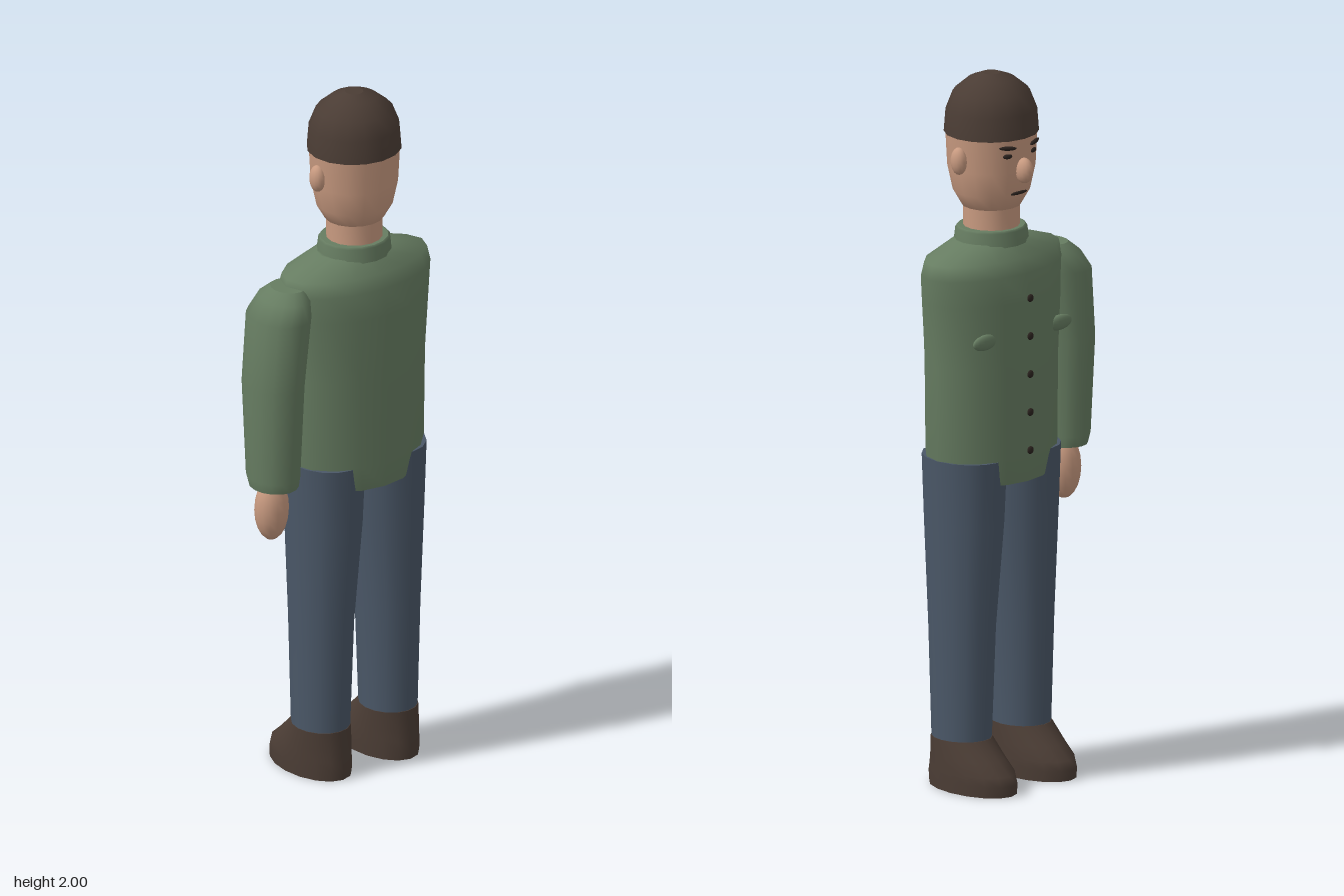
import * as THREE from 'three';

const CX = 0.057, CZ = 0.02; // body axis

const mat = (name, color) => {
  const m = new THREE.MeshStandardMaterial({ color });
  m.name = name;
  return m;
};

// Smooth tube through elliptical rings [y, x, z, rx, rz], closed by flat caps
function loft(rings, n = 16) {
  const pos = [], idx = [];
  const ring = ([y, x, z, rx, rz]) => {
    const start = pos.length / 3;
    for (let i = 0; i < n; i++) {
      const a = (i / n) * Math.PI * 2;
      pos.push(x + Math.cos(a) * rx, y, z + Math.sin(a) * rz);
    }
    return start;
  };
  const starts = rings.map(ring);
  for (let k = 0; k + 1 < rings.length; k++) {
    for (let i = 0; i < n; i++) {
      const j = (i + 1) % n, a = starts[k], b = starts[k + 1];
      idx.push(a + i, b + i, b + j, a + i, b + j, a + j);
    }
  }
  const bottom = ring(rings[0]), top = ring(rings[rings.length - 1]);
  for (let i = 1; i + 1 < n; i++) {
    idx.push(bottom, bottom + i, bottom + i + 1);
    idx.push(top, top + i + 1, top + i);
  }
  const g = new THREE.BufferGeometry();
  g.setAttribute('position', new THREE.Float32BufferAttribute(pos, 3));
  g.setIndex(idx);
  g.computeVertexNormals();
  return g;
}

// Rings centred on the body axis, given as [y, rx, rz]
const axial = (rows) => loft(rows.map(([y, rx, rz]) => [y, CX, CZ, rx, rz]));

export function createModel() {
  const group = new THREE.Group();
  const skin = mat('skin', 0xc89a80);
  const green = mat('jacketGreen', 0x667c61);
  const denim = mat('trouserBlue', 0x4a5767);
  const brown = mat('darkBrown', 0x4a3c34);
  const dark = mat('featureDark', 0x2a221e);

  const add = (name, geometry, material) => {
    const m = new THREE.Mesh(geometry, material);
    m.name = name;
    group.add(m);
    return m;
  };
  const ellipsoid = (name, material, [x, y, z], [rx, ry, rz]) => {
    const m = add(name, new THREE.SphereGeometry(1, 14, 10), material);
    m.position.set(x, y, z);
    m.scale.set(rx, ry, rz);
    return m;
  };

  // Jacket body, collar and neck
  add('jacket', axial([
    [0.865, 0.18, 0.14], [0.94, 0.212, 0.149], [1.2, 0.216, 0.15], [1.38, 0.23, 0.15],
    [1.455, 0.24, 0.138], [1.495, 0.232, 0.123], [1.535, 0.11, 0.09],
  ]), green);
  add('collar', axial([[1.525, 0.107, 0.1], [1.565, 0.102, 0.095], [1.57, 0.096, 0.09]]), green);
  add('neck', axial([[1.54, 0.078, 0.078], [1.65, 0.078, 0.078]]), skin);

  // Head and cap
  add('head', axial([
    [1.613, 0.045, 0.045], [1.628, 0.083, 0.081], [1.67, 0.107, 0.105],
    [1.74, 0.122, 0.12], [1.845, 0.128, 0.125],
  ]), skin);
  add('cap', axial([
    [1.835, 0.133, 0.128], [1.9, 0.128, 0.123], [1.95, 0.108, 0.104],
    [1.985, 0.065, 0.063], [2.0, 0.025, 0.025],
  ]), brown);

  // Face, looking along -z
  ellipsoid('nose', skin, [CX, 1.745, -0.106], [0.023, 0.036, 0.028]);
  ellipsoid('mouth', dark, [CX, 1.678, -0.086], [0.032, 0.005, 0.005]);
  for (const s of [-1, 1]) {
    ellipsoid('ear', skin, [CX + s * 0.126, 1.772, CZ], [0.022, 0.039, 0.025]);
    const brow = ellipsoid('eyebrow', dark, [CX + s * 0.052, 1.815, -0.095], [0.027, 0.006, 0.006]);
    brow.rotation.set(0, -s * 0.35, s * 0.1);
    const eye = ellipsoid('eye', dark, [CX + s * 0.05, 1.791, -0.092], [0.014, 0.007, 0.006]);
    eye.rotation.y = -s * 0.35;
  }

  // Buttons and chest pocket flaps
  for (let i = 0; i < 5; i++) {
    ellipsoid('button', dark, [CX, 0.955 + i * 0.108, -0.13], [0.011, 0.011, 0.006]);
  }
  for (const s of [-1, 1]) {
    ellipsoid('pocketFlap', green, [CX + s * 0.145, 1.283, -0.099], [0.047, 0.022, 0.012]);
  }

  // Single sleeve and hand on the -x side
  add('sleeve', loft([
    [0.895, -0.22, CZ, 0.065, 0.075], [0.925, -0.222, CZ, 0.07, 0.082],
    [1.2, -0.222, CZ, 0.077, 0.1], [1.4, -0.203, CZ, 0.08, 0.104],
    [1.45, -0.183, CZ, 0.067, 0.085], [1.477, -0.17, CZ, 0.047, 0.055],
  ]), green);
  ellipsoid('hand', skin, [-0.227, 0.825, CZ], [0.05, 0.092, 0.045]);

  // Legs and shoes
  for (const s of [-1, 1]) {
    const x = CX + s * 0.105, foot = CX + s * 0.116;
    add('trouserLeg', loft([
      [0.1, foot, CZ, 0.077, 0.086], [0.45, CX + s * 0.114, CZ, 0.083, 0.102],
      [0.75, CX + s * 0.106, CZ, 0.1, 0.12], [0.935, x, CZ, 0.106, 0.128],
    ]), denim);
    add('shoe', loft([
      [0, foot, -0.024, 0.088, 0.146], [0.03, foot, -0.024, 0.088, 0.149],
      [0.055, foot, -0.022, 0.087, 0.143], [0.09, foot, -0.003, 0.084, 0.12],
      [0.14, foot, CZ, 0.079, 0.09],
    ]), brown);
  }
  return group;
}
